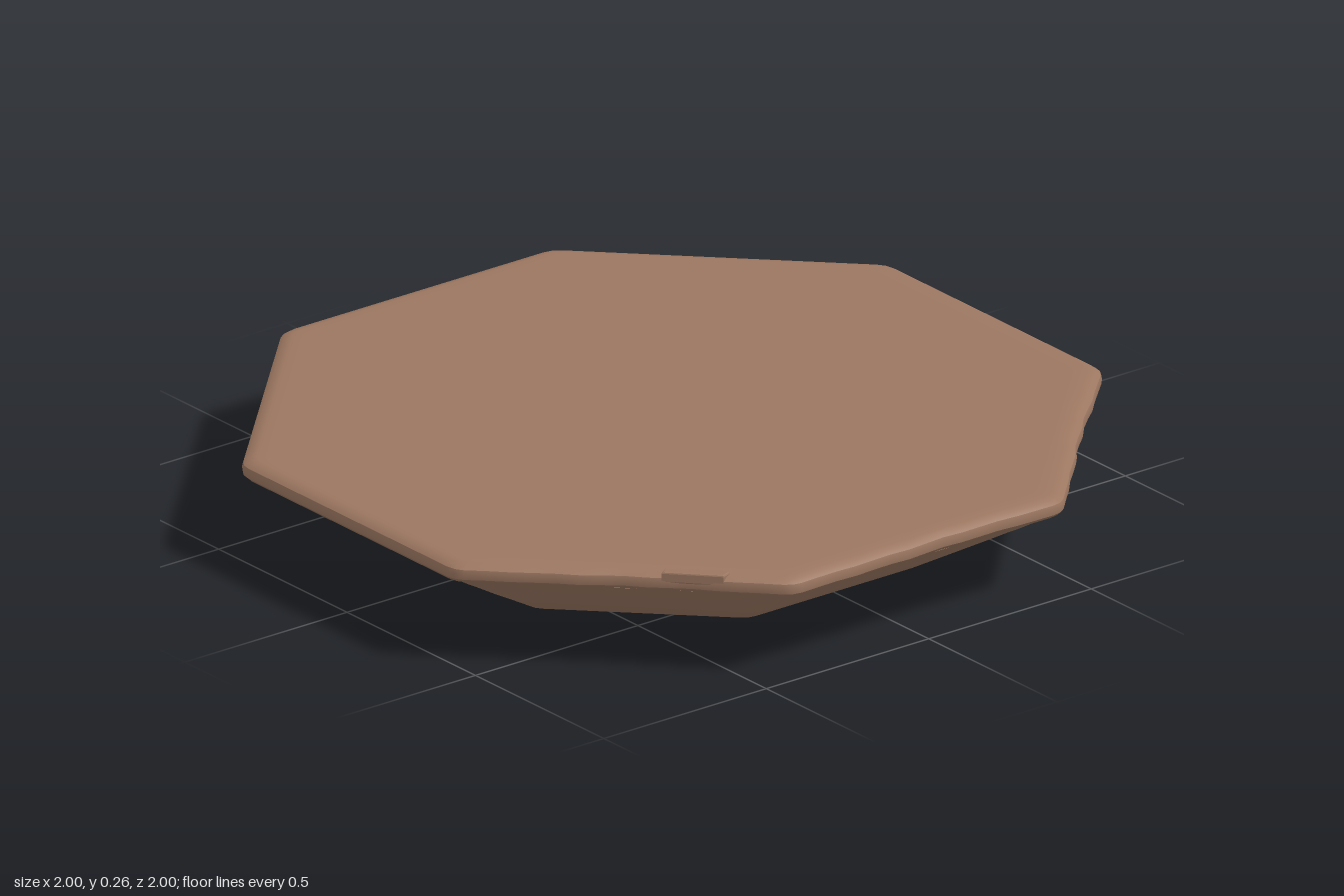
import * as THREE from 'three';
import { toCreasedNormals } from 'three/addons/utils/BufferGeometryUtils.js';

const SIDES = 8, STEPS = 14, TAN = Math.tan(Math.PI / 8);

// One octagon loop with softened corners; warp(side, t) gives the inward push.
function octagonRing(apothem, y, cut, warp) {
  const pts = [];
  for (let k = 0; k < SIDES; k++) {
    const a = k * Math.PI / 4;                 // side 0 faces +z, side 2 faces +x
    const half = apothem * TAN;
    for (let i = 0; i <= STEPS; i++) {
      const t = i / STEPS * 2 - 1;
      const along = t * (half - cut);
      const out = apothem - warp(k, t);
      pts.push([Math.sin(a) * out + Math.cos(a) * along, y, Math.cos(a) * out - Math.sin(a) * along]);
    }
    // rounded corner point
    const c = a + Math.PI / 8, r = apothem / Math.cos(Math.PI / 8) - cut * 0.2;
    pts.push([Math.sin(c) * r, y, Math.cos(c) * r]);
  }
  return pts;
}

// Skin a stack of loops from top to bottom and close both ends with a fan.
function skinRings(rings, crease) {
  const n = rings[0].length, pos = rings.flat(2), index = [];
  for (let r = 0; r < rings.length - 1; r++) {
    for (let i = 0; i < n; i++) {
      const j = (i + 1) % n, a = r * n + i, b = r * n + j;
      index.push(a, a + n, b, b, a + n, b + n);
    }
  }
  const last = (rings.length - 1) * n, top = rings.length * n;
  pos.push(0, rings[0][0][1], 0, 0, rings[rings.length - 1][0][1], 0);
  for (let i = 0; i < n; i++) {
    const j = (i + 1) % n;
    index.push(top, i, j, top + 1, last + j, last + i);
  }
  const geo = new THREE.BufferGeometry();
  geo.setAttribute('position', new THREE.Float32BufferAttribute(pos, 3));
  geo.setIndex(index);
  return toCreasedNormals(geo, crease);
}

// Worn chips on the three front sides; the other sides stay straight.
function wear(k, t) {
  if (k !== 0 && k !== 1 && k !== 7) return 0;
  const fade = 1 - t * t;
  return fade * 0.006 * (1 + Math.sin(t * 9 + k * 2) * Math.cos(t * 5 + k));
}

// Shallow dents beside the corners, halfway down the underside.
const dents = (k, t) => 0.014 * Math.pow(Math.abs(t), 8);
const none = () => 0;

export function createModel() {
  const group = new THREE.Group();
  const stone = new THREE.MeshStandardMaterial({ color: 0x9c7761 });

  // Flat slab with a rounded rim
  const slabProfile = [
    [0.93, 0.26], [0.965, 0.26], [0.985, 0.256], [0.997, 0.247],
    [1, 0.236], [0.998, 0.222], [0.988, 0.212], [0.965, 0.207],
  ];
  const slab = new THREE.Mesh(
    skinRings(slabProfile.map(([a, y], i) => octagonRing(a, y, 0.025, i > 1 ? wear : none)), 0.6), stone);
  slab.name = 'topSlab';
  group.add(slab);

  // Tapering underside
  const baseProfile = [
    [0.98, 0.212, none], [0.9, 0.162, none], [0.815, 0.11, dents],
    [0.73, 0.06, none], [0.63, 0, none], [0.58, 0, none],
  ];
  const base = new THREE.Mesh(
    skinRings(baseProfile.map(([a, y, w]) => octagonRing(a, y, 0.02, w)), 0.6), stone);
  base.name = 'taperedBase';
  group.add(base);

  // Small raised flake on the rim of the front corner side
  const flakeShape = new THREE.Shape();
  flakeShape.moveTo(-0.075, -0.012);
  flakeShape.lineTo(0.07, -0.016);
  flakeShape.lineTo(0.08, 0.004);
  flakeShape.lineTo(0.06, 0.016);
  flakeShape.lineTo(-0.07, 0.01);
  const flakeGeo = new THREE.ExtrudeGeometry(flakeShape, {
    depth: 0.02, bevelEnabled: true, bevelThickness: 0.004, bevelSize: 0.004, bevelSegments: 2,
  });
  flakeGeo.rotateX(-Math.PI / 2);
  const flake = new THREE.Mesh(flakeGeo, stone);
  flake.name = 'rimFlake';
  flake.rotation.y = -Math.PI / 4;
  flake.position.set(-0.57, 0.239, 0.81);
  group.add(flake);

  return group;
}
